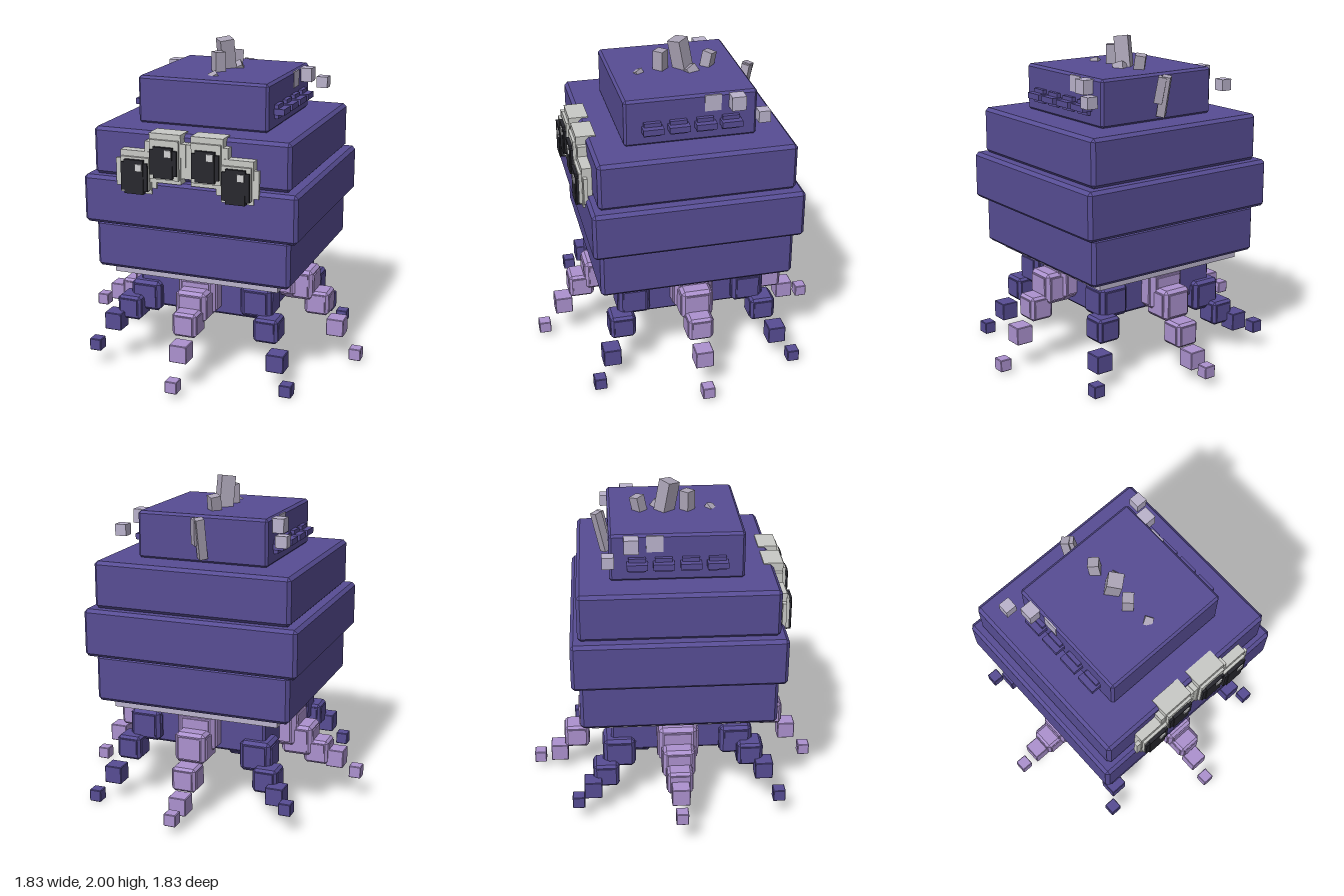
import * as THREE from 'three';
import { ConvexGeometry } from 'three/addons/geometries/ConvexGeometry.js';

const mat = (name, color) => {
  const m = new THREE.MeshStandardMaterial({ color });
  m.name = name;
  return m;
};

// Box with chamfered edges and corners
function chamferBox(w, h, d, c) {
  const pts = [];
  const half = [w / 2, h / 2, d / 2];
  for (const sx of [-1, 1]) for (const sy of [-1, 1]) for (const sz of [-1, 1]) {
    for (let full = 0; full < 3; full++) {
      const p = [sx, sy, sz].map((s, i) => s * (half[i] - (i === full ? 0 : c)));
      pts.push(new THREE.Vector3(...p));
    }
  }
  return new ConvexGeometry(pts);
}

export function createModel() {
  const model = new THREE.Group();
  model.name = 'blockCreature';
  const purple = mat('deep purple', 0x574d94);
  const lilac = mat('lilac', 0xac92cf);
  const pale = mat('pale lavender grey', 0xbab3cc);
  const stone = mat('crystal grey', 0xaba4b6);
  const frameGrey = mat('eye frame grey', 0xc9cac6);
  const black = mat('eye black', 0x28282e);
  const white = mat('eye glint', 0xd2d2d4);

  const add = (name, geo, material, x, y, z, parent = model) => {
    const mesh = new THREE.Mesh(geo, material);
    mesh.name = name;
    mesh.position.set(x, y, z);
    parent.add(mesh);
    return mesh;
  };
  const box = (name, material, w, h, d, x, y, z, parent) =>
    add(name, new THREE.BoxGeometry(w, h, d), material, x, y, z, parent);
  const slab = (name, material, w, y0, y1, d, c) =>
    add(name, chamferBox(w, y1 - y0, d, c), material, 0, (y0 + y1) / 2, 0);

  // Stacked body
  slab('crown', purple, 0.82, 1.525, 1.812, 0.79, 0.015);
  slab('upperBody', purple, 1.23, 1.24, 1.528, 1.18, 0.02);
  slab('middleBody', purple, 1.34, 0.945, 1.24, 1.27, 0.02);
  slab('lowerBody', purple, 1.23, 0.655, 0.948, 1.18, 0.02);
  box('basePlate', pale, 1.05, 0.05, 1.05, 0, 0.632, 0);
  slab('underCore', purple, 0.82, 0.37, 0.61, 0.82, 0.015);

  // Tentacles: chains of shrinking cubes with their own heights
  const radii = [0.39, 0.51, 0.63, 0.747, 0.875];
  const sizes = [0.235, 0.19, 0.15, 0.11, 0.075];
  const tentacles = [
    ['left', 1, 0, [0.54, 0.5, 0.385, 0.23, 0.06]],
    ['right', -1, 0, [0.45, 0.37, 0.3, 0.265, 0.187]],
    ['front', 0, 1, [0.51, 0.47, 0.39, 0.245, 0.08]],
    ['back', 0, -1, [0.5, 0.43, 0.265, 0.135, 0.095]],
    ['frontLeft', 1, 1, [0.52, 0.49, 0.345, 0.175, 0.045]],
    ['backLeft', 1, -1, [0.52, 0.48, 0.34, 0.17, 0.045]],
    ['frontRight', -1, 1, [0.5, 0.44, 0.37, 0.29, 0.15]],
    ['backRight', -1, -1, [0.46, 0.37, 0.25, 0.19, 0.155]],
  ];
  for (const [name, dx, dz, heights] of tentacles) {
    const leg = new THREE.Group();
    leg.name = name + 'Tentacle';
    model.add(leg);
    const diagonal = dx && dz;
    const k = diagonal ? Math.SQRT1_2 : 1;
    heights.forEach((y, i) => {
      const s = sizes[i];
      const x = dx * radii[i] * k, z = dz * radii[i] * k;
      const m = diagonal ? purple : lilac;
      add('segment', chamferBox(s, s, s, i < 3 ? s * 0.1 : 0.004), m, x, y, z, leg);
      // Raised bands around the thicker segments
      if (i < 3) {
        box('segmentBand', m, s * 1.08, s * 0.72, s * 0.72, x, y, z, leg);
        box('segmentBand', m, s * 0.72, s * 0.72, s * 1.08, x, y, z, leg);
      }
    });
  }

  // Four framed eyes
  const eyes = [
    { x: 0.13, y: 1.388, h: 0.295, back: 0.53, ey: 1.37, eh: 0.185 },
    { x: 0.315, y: 1.293, h: 0.255, back: 0.59, ey: 1.27, eh: 0.205 },
  ];
  for (const side of [-1, 1]) for (const e of eyes) {
    const eye = new THREE.Group();
    eye.name = 'eye';
    model.add(eye);
    const x = side * e.x;
    const layer = (name, m, w, h, y, z0, z1) =>
      box(name, m, w, h, z1 - z0, x, y, (z0 + z1) / 2, eye);
    layer('frameTall', frameGrey, 0.197, e.h, e.y, e.back, 0.648);
    layer('frameWide', frameGrey, 0.258, e.h - 0.09, e.y - 0.008, e.back + 0.03, 0.644);
    layer('frameFace', frameGrey, 0.18, e.h - 0.06, e.y - 0.005, 0.62, 0.665);
    layer('pupilTall', black, 0.12, e.eh, e.ey, 0.65, 0.685);
    layer('pupilWide', black, 0.168, e.eh - 0.036, e.ey, 0.65, 0.679);
    box('glint', white, 0.043, 0.043, 0.008, x + 0.033, e.ey + 0.058, 0.688, eye);
  }

  // Crown sides: vents and little floating cubes
  for (const side of [-1, 1]) {
    for (const z of [0.232, 0.078, -0.08, -0.233]) {
      box('ventTall', purple, 0.05, 0.083, 0.1, side * 0.41, 1.633, z);
      box('ventWide', purple, 0.1, 0.036, 0.122, side * 0.424, 1.633, z);
    }
    box('sideCube', pale, 0.098, 0.098, 0.098, side * 0.365, 1.755, -0.13);
    box('sideCube', pale, 0.082, 0.085, 0.085, side * 0.437, 1.762, -0.267);
    box('sideCube', pale, 0.07, 0.07, 0.07, side * 0.505, 1.695, -0.402);
  }

  // Crystals on top and behind: width, height, centre, tilt x, turn y, tilt z
  const crystals = [
    [0.066, 0.15, -0.015, 1.855, 0.085, 0, 0.8, 0],
    [0.088, 0.23, -0.012, 1.88, -0.04, 0.16, 0.7, 0.03],
    [0.064, 0.13, -0.008, 1.835, -0.205, -0.2, 0.8, 0],
    [0.05, 0.05, 0.01, 1.8, 0.225, 0.3, 0.6, 0.3],
    [0.07, 0.08, 0.05, 1.797, -0.09, 0.4, 0.5, 0.3],
    [0.05, 0.25, -0.012, 1.68, -0.435, -0.22, 0.7, 0],
    [0.05, 0.16, 0.015, 1.72, -0.435, -0.26, 0.8, 0.1],
  ];
  for (const [w, h, x, y, z, rx, ry, rz] of crystals) {
    const c = box('crystal', stone, w, h, w, x, y, z);
    c.rotation.set(rx, ry, rz);
  }
  return model;
}
